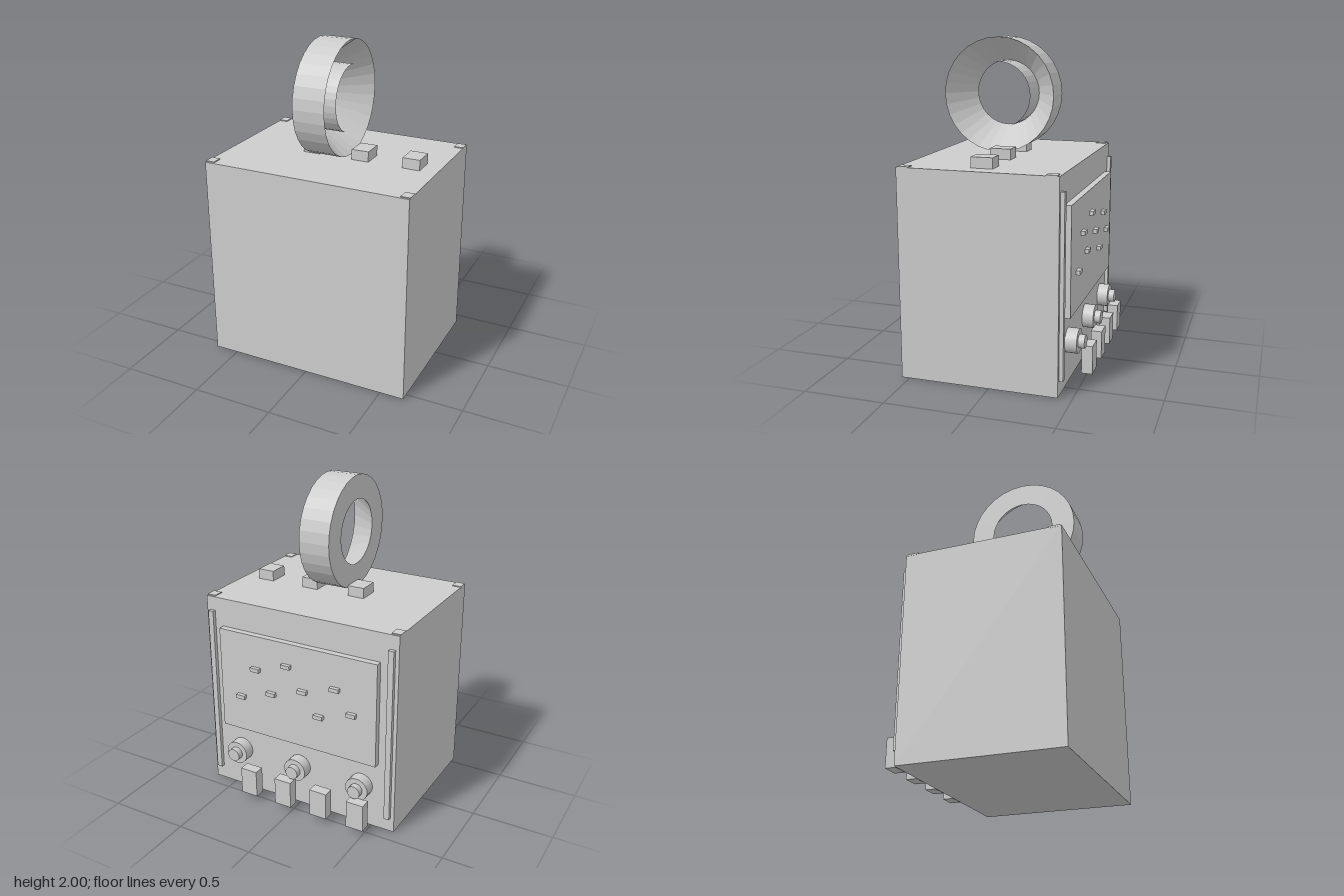
import * as THREE from 'three';

export function createModel() {
  const model = new THREE.Group();
  const lightGrey = new THREE.MeshStandardMaterial({ color: 0xcccccc });
  lightGrey.name = 'light grey';

  function add(name, geometry, x, y, z) {
    const mesh = new THREE.Mesh(geometry, lightGrey);
    mesh.name = name;
    mesh.position.set(x, y, z);
    model.add(mesh);
    return mesh;
  }
  const box = (name, w, h, d, x, y, z) => add(name, new THREE.BoxGeometry(w, h, d), x, y, z);

  // Faceted geometry with one normal per face
  function faceted(geometry) {
    const g = geometry.toNonIndexed();
    g.computeVertexNormals();
    return g;
  }

  // Cabinet
  box('cabinet', 1.3, 1.28, 0.966, 0, 0.64, 0.066);

  // Thin corner caps on the top
  for (const x of [-0.623, 0.623])
    for (const z of [-0.372, 0.506]) box('cornerCap', 0.056, 0.012, 0.066, x, 1.28, z);

  // Buttons on the top
  for (const x of [-0.157, 0.167, 0.492]) box('topButton', 0.108, 0.065, 0.132, x, 1.312, 0.066);

  // Upright ring: flat on one side, conical recess around a hub on the other
  const profile = [[0.2, -0.1], [0.347, -0.1], [0.347, 0.1], [0.2, -0.1], [0.2, 0.1]]
    .map(([r, h]) => new THREE.Vector2(r, h));
  const ring = add('ring', faceted(new THREE.LatheGeometry(profile, 32)), 0, 1.653, 0.117);
  ring.rotation.z = -Math.PI / 2;

  // Rear panel and side rails
  box('rearPanel', 1.076, 0.66, 0.04, 0, 0.77, -0.437);
  for (const x of [-0.61, 0.61]) box('rearRail', 0.035, 1.1, 0.024, x, 0.642, -0.429);

  // Small lamps scattered on the rear panel
  const lamps = [
    [0.388, 0.677], [0.277, 0.884], [0.168, 0.746], [0.058, 0.955],
    [-0.053, 0.815], [-0.163, 0.677], [-0.272, 0.884], [-0.382, 0.746],
  ];
  for (const [x, y] of lamps) box('rearLamp', 0.061, 0.025, 0.025, x, y, -0.4695);

  // Stepped knobs
  for (const x of [-0.43, 0, 0.43]) {
    const base = add('knobBase', new THREE.CylinderGeometry(0.074, 0.074, 0.07, 20), x, 0.27, -0.452);
    const cap = add('knobCap', new THREE.CylinderGeometry(0.041, 0.041, 0.038, 20), x, 0.27, -0.506);
    base.rotation.x = cap.rotation.x = -Math.PI / 2;
  }

  // Row of switch blocks along the bottom of the rear
  for (const x of [-0.452, -0.201, 0.05, 0.3]) box('switchBlock', 0.112, 0.175, 0.067, x, 0.125, -0.517);

  return model;
}
